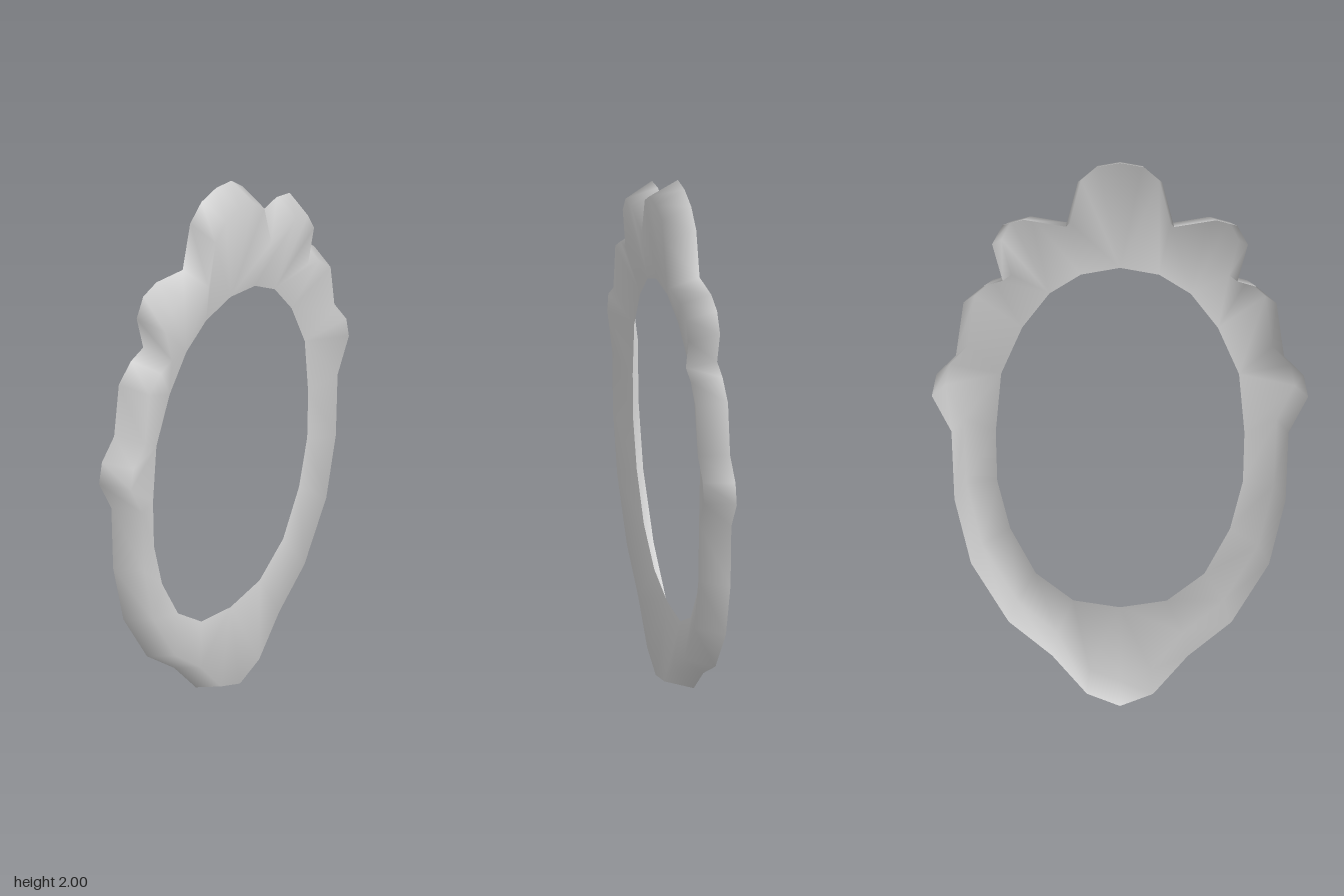
import * as THREE from 'three';

// Half outline of the ornate rim, top to bottom: x, y, index of the opening point it joins
const RIM = [
  [0, 2, 0], [0.08, 1.985, 0], [0.14, 1.93, 0], [0.18, 1.765, 1],
  [0.32, 1.79, 2], [0.39, 1.77, 2], [0.425, 1.7, 2], [0.39, 1.565, 2],
  [0.455, 1.545, 3], [0.52, 1.485, 3], [0.545, 1.29, 4], [0.61, 1.22, 4],
  [0.625, 1.14, 4], [0.56, 1.01, 5], [0.55, 0.76, 6], [0.495, 0.525, 7],
  [0.37, 0.31, 8], [0.225, 0.185, 9], [0.11, 0.045, 10], [0, 0, 10],
];

// Half outline of the oval opening, top to bottom
const OPENING = [
  [0, 1.585], [0.13, 1.56], [0.235, 1.49], [0.325, 1.365], [0.395, 1.195], [0.413, 0.98],
  [0.408, 0.8], [0.365, 0.625], [0.28, 0.46], [0.155, 0.36], [0, 0.335],
];

const DEPTH = 0.05; // half thickness of the rim
const OPENING_Z = 0.01; // the face dips slightly towards the opening

// Completes a half outline clockwise (seen from the front)
function mirrorLoop(half, mirrorPoint) {
  return [...half, ...half.slice(1, -1).reverse().map(mirrorPoint)];
}

// Open-backed shell: a flared outer wall and a front face around the opening
function shellGeometry() {
  const openingCount = 2 * (OPENING.length - 1);
  const rim = mirrorLoop(RIM, ([x, y, k]) => [-x, y, (openingCount - k) % openingCount]);
  const opening = mirrorLoop(OPENING, ([x, y]) => [-x, y]);
  const n = rim.length;

  // Cross-section loops: wide back rim, narrower front rim, opening edge
  const positions = [];
  rim.forEach(([x, y]) => positions.push(x, y, -DEPTH));
  rim.forEach(([x, y]) => positions.push(x * 0.928, 1 + (y - 1) * 0.956, DEPTH));
  opening.forEach(([x, y]) => positions.push(x, y, OPENING_Z));

  const index = [];
  const quad = (a, b, c, d) => {
    index.push(a, b, c);
    if (c !== d) index.push(a, c, d);
  };
  for (let i = 0; i < n; i++) {
    const j = (i + 1) % n;
    quad(n + i, n + j, j, i); // outer wall
    quad(n + j, n + i, 2 * n + rim[i][2], 2 * n + rim[j][2]); // front face
  }

  const geometry = new THREE.BufferGeometry();
  geometry.setAttribute('position', new THREE.Float32BufferAttribute(positions, 3));
  geometry.setIndex(index);
  geometry.computeVertexNormals();
  return geometry;
}

export function createModel() {
  const group = new THREE.Group();
  group.name = 'ovalMirrorFrame';
  const material = new THREE.MeshStandardMaterial({ color: 0xcccccc, side: THREE.DoubleSide });
  const frame = new THREE.Mesh(shellGeometry(), material);
  frame.name = 'ornateFrame';
  group.add(frame);
  return group;
}
